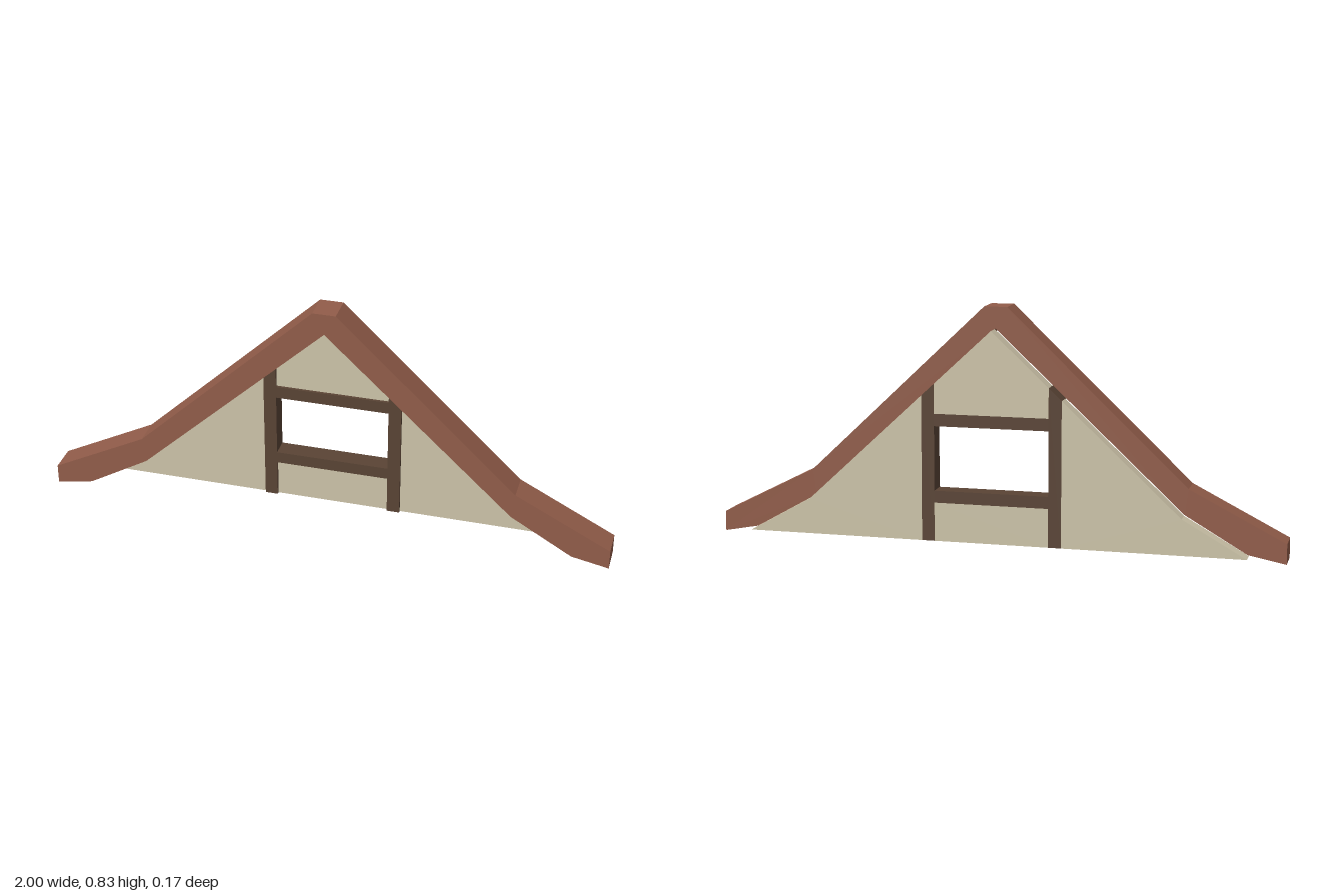
import * as THREE from 'three';

export function createModel() {
  const group = new THREE.Group();
  group.name = 'gable';

  const material = (name, color) => {
    const m = new THREE.MeshStandardMaterial({ color });
    m.name = name;
    return m;
  };
  const roofWood = material('reddish roof wood', 0x925d4a);
  const darkTimber = material('dark timber', 0x5a4435);
  const plaster = material('cream plaster', 0xcec5aa);

  const BASE = 0.025, BACK = -0.083;
  const POST_IN = 0.2, POST_OUT = 0.245;
  // underside of the upper roof slope
  const slope = (x) => 0.76 - 0.931 * x;

  // extrude an outline in the xy plane between two depths
  const slab = (name, points, z0, z1, mat) => {
    const shape = new THREE.Shape(points.map(([x, y]) => new THREE.Vector2(x, y)));
    const geometry = new THREE.ExtrudeGeometry(shape, { depth: z1 - z0, bevelEnabled: false });
    geometry.translate(0, 0, z0);
    const mesh = new THREE.Mesh(geometry, mat);
    mesh.name = name;
    group.add(mesh);
  };
  const mirror = (points) => points.map(([x, y]) => [-x, y]).reverse();

  // bargeboard: one bent beam following both roof slopes
  const outer = [[1, 0], [1, 0.07], [0.667, 0.24], [0.04, 0.835]];
  const inner = [[0, 0.76], [0.655, 0.15], [0.87, 0.025]];
  slab('bargeboard', [...outer, ...mirror(outer), ...mirror(inner.slice(1)), ...inner], -0.017, 0.083, roofWood);

  // posts and side panels, mirrored left and right
  const post = [[POST_IN, BASE], [POST_OUT, BASE], [POST_OUT, slope(POST_OUT)], [POST_IN, slope(POST_IN)]];
  const panel = [[POST_OUT, BASE], [0.875, BASE], [0.655, 0.15], [POST_OUT, slope(POST_OUT)]];
  for (const [side, place] of [['left', (p) => p], ['right', mirror]]) {
    slab(side + 'Post', place(post), BACK, -0.017, darkTimber);
    slab(side + 'Panel', place(panel), BACK, -0.027, plaster);
  }

  // rails above and below the window opening
  const band = (y0, y1) => [[-POST_IN, y0], [POST_IN, y0], [POST_IN, y1], [-POST_IN, y1]];
  slab('lowerRail', band(0.16, 0.202), BACK, -0.017, darkTimber);
  slab('upperRail', band(0.427, 0.47), BACK, -0.017, darkTimber);

  // plaster under the window and in the peak
  slab('sillPanel', band(BASE, 0.16), BACK, -0.027, plaster);
  slab('peakPanel', [[-POST_IN, 0.47], [POST_IN, 0.47], [POST_IN, slope(POST_IN)], [0, 0.76], [-POST_IN, slope(POST_IN)]],
    BACK, -0.027, plaster);

  return group;
}
